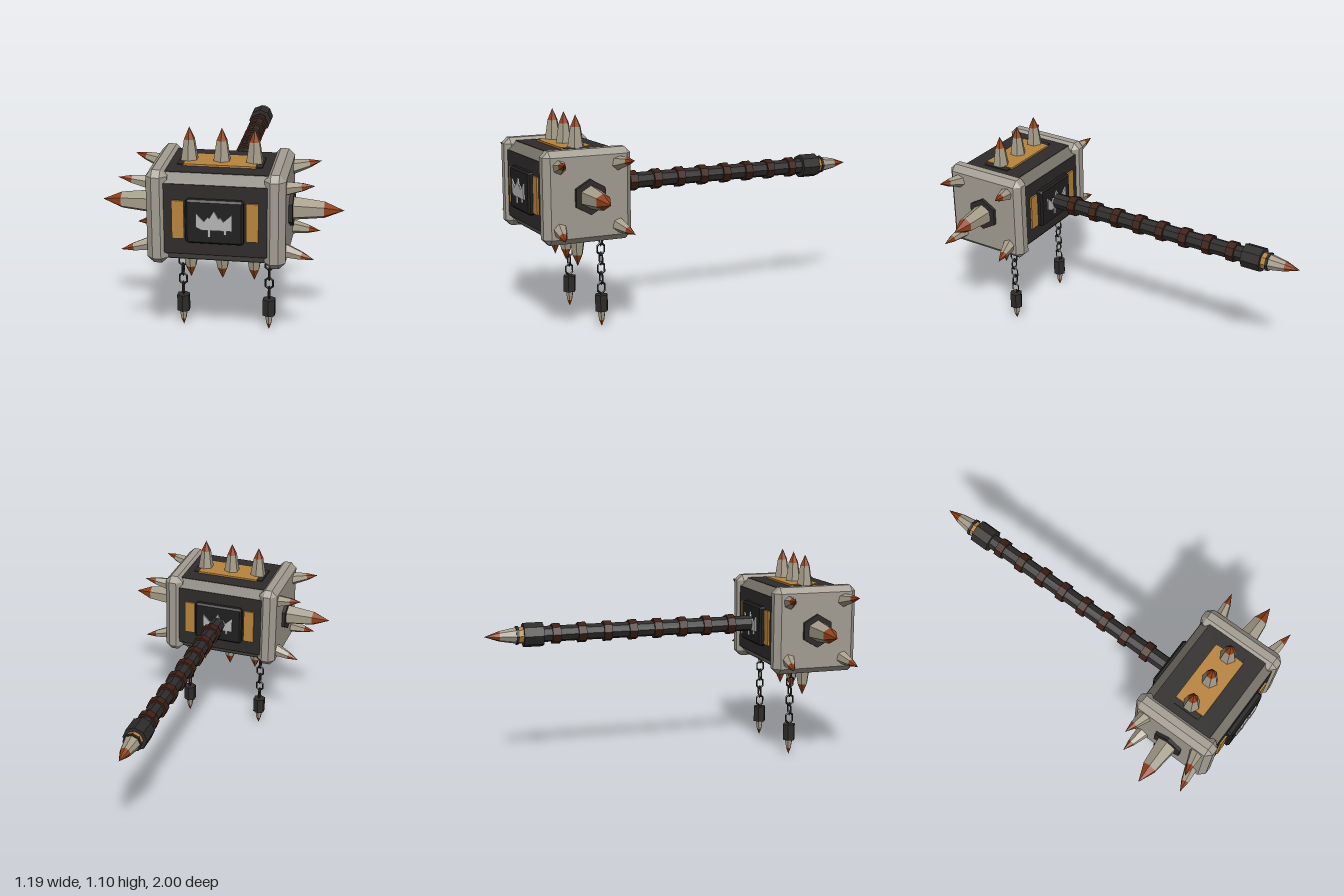
import * as THREE from 'three';
import { ConvexGeometry } from 'three/addons/geometries/ConvexGeometry.js';

const mat = (color) => new THREE.MeshStandardMaterial({ color, flatShading: true });
const M = {
  dark: mat(0x2e2b2a), panel: mat(0x211f1f), edge: mat(0x77736a), plate: mat(0xa39d92), bone: mat(0xa59c89),
  tip: mat(0x8f3f18), gold: mat(0xb8843c), wrap: mat(0x3d2015), crown: mat(0xb4b4b4),
};

function add(parent, name, geo, material, x = 0, y = 0, z = 0) {
  const m = new THREE.Mesh(geo, material);
  m.name = name;
  m.position.set(x, y, z);
  parent.add(m);
  return m;
}

// Box with all edges cut; w, h, d are half sizes
function chamferBox(w, h, d, c) {
  const pts = [];
  for (const i of [-1, 1]) for (const j of [-1, 1]) for (const k of [-1, 1]) {
    pts.push(new THREE.Vector3(i * w, j * (h - c), k * (d - c)));
    pts.push(new THREE.Vector3(i * (w - c), j * h, k * (d - c)));
    pts.push(new THREE.Vector3(i * (w - c), j * (h - c), k * d));
  }
  return new ConvexGeometry(pts);
}

// Spike from one point to another, with a rust-coloured tip
function spike(parent, name, from, to, r0, r1, split, spin = 0, sides = 6) {
  const a = new THREE.Vector3(...from), dir = new THREE.Vector3(...to).sub(a);
  const len = dir.length(), h = len * split;
  const g = new THREE.Group();
  g.name = name;
  g.position.copy(a);
  g.quaternion.setFromUnitVectors(new THREE.Vector3(0, 1, 0), dir.normalize());
  add(g, 'spikeShaft', new THREE.CylinderGeometry(r1, r0, h, sides).rotateY(spin), M.bone, 0, h / 2);
  add(g, 'spikeTip', new THREE.ConeGeometry(r1, len - h, sides).rotateY(spin), M.tip, 0, (len + h) / 2);
  parent.add(g);
}

function makeHead() {
  const head = new THREE.Group();
  head.name = 'head';

  // Eight-sided core with dark slabs on its four main sides
  const o = 0.218, i = 0.175;
  const oct = new THREE.Shape([[i, -o], [o, -i], [o, i], [i, o], [-i, o], [-o, i], [-o, -i], [-i, -o]]
    .map(([x, y]) => new THREE.Vector2(x, y)));
  const core = new THREE.ExtrudeGeometry(oct, { depth: 0.54, bevelEnabled: false });
  add(head, 'headCore', core.translate(0, 0, -0.27).rotateY(Math.PI / 2), M.edge);
  add(head, 'sideSlabs', new THREE.BoxGeometry(0.54, 2 * i, 0.441), M.dark);
  add(head, 'topBottomSlabs', new THREE.BoxGeometry(0.54, 0.441, 2 * i), M.dark);

  // End plates with a large spike and four corner spikes
  for (const s of [-1, 1]) {
    add(head, 'endPlate', chamferBox(0.051, 0.235, 0.235, 0.031), M.plate, s * 0.281);
    add(head, 'spikeCollar', new THREE.CylinderGeometry(0.09, 0.09, 0.03, 6).rotateY(Math.PI / 2).rotateZ(Math.PI / 2),
      M.dark, s * 0.335);
    spike(head, 'mainSpike', [s * 0.335, 0, 0], [s * 0.593, 0, 0], 0.061, 0.042, 0.63, Math.PI / 2);
    for (const j of [-1, 1]) for (const k of [-1, 1])
      spike(head, 'cornerSpike', [s * 0.325, j * 0.157, k * 0.157], [s * 0.466, j * 0.185, k * 0.185],
        0.037, 0.021, 0.58, Math.PI / 2);
  }

  // Top and bottom spike rows on gold plates
  for (const s of [-1, 1]) {
    add(head, 'spikeRowBase', new THREE.BoxGeometry(0.41, 0.014, 0.15), M.dark, 0, s * 0.219, 0);
    add(head, 'spikeRowPlate', new THREE.BoxGeometry(0.35, 0.02, 0.17), M.gold, 0, s * 0.22, 0);
    for (const x of [-0.158, 0, 0.158])
      spike(head, 'rowSpike', [x, s * 0.225, 0], [x, s * 0.39, 0], 0.045, 0.028, 0.63);
  }

  // Front and back faces: raised panel, gold bars and a jagged crown ornament
  const crown = new THREE.Shape([[-0.086, 0.048], [-0.047, 0.008], [-0.03, 0.03], [-0.022, 0.024], [0, 0.063],
    [0.022, 0.024], [0.03, 0.03], [0.045, 0.01], [0.086, 0.048], [0.086, -0.035], [0.06, -0.035], [0.06, -0.056],
    [0.046, -0.056], [0.046, -0.035], [-0.016, -0.035], [-0.016, -0.07], [-0.03, -0.07], [-0.03, -0.035],
    [-0.06, -0.035], [-0.086, -0.022]].map(([x, y]) => new THREE.Vector2(x, y)));
  for (const turn of [0, Math.PI]) {
    const face = new THREE.Group();
    face.name = turn ? 'backFace' : 'frontFace';
    face.rotation.y = turn;
    add(face, 'facePanel', chamferBox(0.138, 0.109, 0.025, 0.01), M.panel, 0, 0, 0.225);
    add(face, 'crownOrnament', new THREE.ExtrudeGeometry(crown, { depth: 0.012, bevelEnabled: false }),
      M.crown, 0, 0, 0.246);
    for (const s of [-1, 1])
      add(face, 'goldBar', new THREE.BoxGeometry(0.058, 0.19, 0.03), M.gold, s * 0.177, 0, 0.215);
    head.add(face);
  }
  return head;
}

function makeHandle() {
  const handle = new THREE.Group();
  handle.name = 'handle';
  const rod = (name, r, z0, z1, m) =>
    add(handle, name, new THREE.CylinderGeometry(r, r, z1 - z0, 8).rotateX(Math.PI / 2), m, 0, 0, (z0 + z1) / 2);
  rod('shaft', 0.043, -0.75, 0.53, M.dark);
  for (let n = 0; n < 8; n++) rod('gripRing', 0.055, 0.338 - n * 0.14, 0.382 - n * 0.14, M.wrap);
  rod('pommel', 0.065, -0.795, -0.69, M.dark);
  rod('pommelGoldBand', 0.045, -0.82, -0.79, M.gold);
  rod('pommelRing', 0.05, -0.834, -0.82, M.dark);
  spike(handle, 'pommelSpike', [0, 0, -0.83], [0, 0, -1], 0.044, 0.028, 0.53, 0, 8);
  return handle;
}

// Hanging chain of alternating links with a spiked weight
function makeChain() {
  const chain = new THREE.Group();
  chain.name = 'chain';
  const link = new THREE.TorusGeometry(0.02, 0.0045, 4, 6).rotateZ(Math.PI / 6).scale(1.1, 1.6, 1.1);
  for (let n = 0; n < 6; n++)
    add(chain, 'chainLink', link, M.dark, 0, 0.46 - n * 0.051, 0).rotation.y = n % 2 ? Math.PI / 2 : 0;
  add(chain, 'weight', new THREE.CylinderGeometry(0.035, 0.035, 0.087, 6), M.dark, 0, 0.126, 0);
  spike(chain, 'weightSpike', [0, 0.09, 0], [0, 0, 0], 0.023, 0.014, 0.62);
  return chain;
}

export function createModel() {
  const model = new THREE.Group();
  model.name = 'spikedHammer';
  const head = makeHead();
  head.position.set(0, 0.706, 0.737);
  const handle = makeHandle();
  handle.position.y = 0.706;
  model.add(head, handle);
  for (const s of [-1, 1]) {
    const chain = makeChain();
    chain.position.set(s * 0.22, 0, 0.635);
    model.add(chain);
  }
  return model;
}
